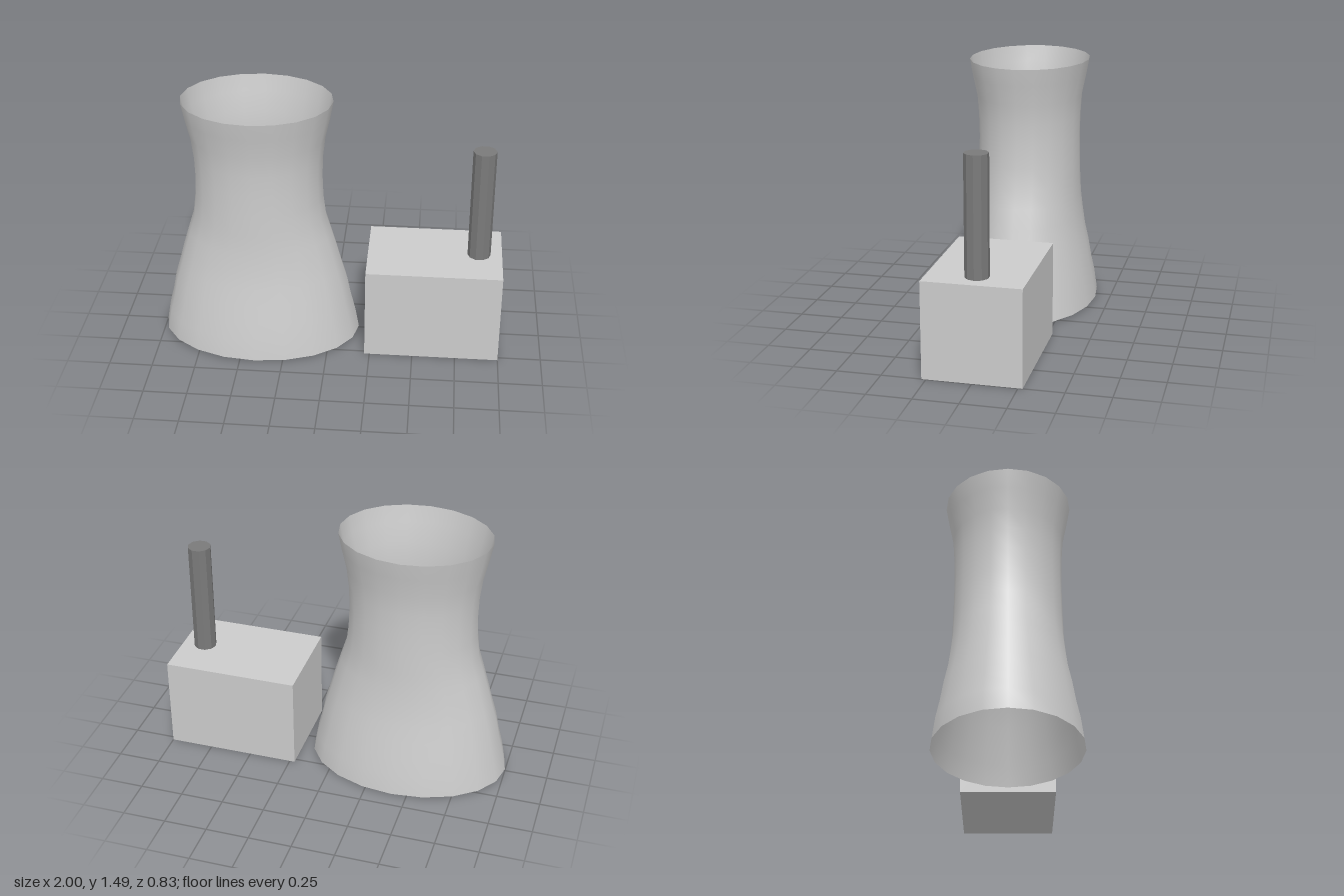
import * as THREE from 'three';

// Tower cross-sections: height, half width along x, half depth along z
const RINGS = [
  [0.01, 0.585, 0.415], [0.13, 0.563, 0.398], [0.23, 0.537, 0.376], [0.34, 0.515, 0.357],
  [0.44, 0.485, 0.335], [0.55, 0.455, 0.32], [0.66, 0.422, 0.308], [0.77, 0.388, 0.304],
  [0.9, 0.372, 0.301], [1.03, 0.367, 0.299], [1.15, 0.37, 0.302], [1.27, 0.384, 0.31],
  [1.39, 0.411, 0.335], [1.49, 0.43, 0.353],
];

// Open oval shell: a lathe of the x profile, squeezed in z ring by ring
function towerGeometry() {
  const geo = new THREE.LatheGeometry(RINGS.map(([y, rx]) => new THREE.Vector2(rx, y)), 20);
  const pos = geo.attributes.position;
  for (let i = 0; i < pos.count; i++) {
    const [, rx, rz] = RINGS[i % RINGS.length];
    pos.setZ(i, pos.getZ(i) * rz / rx);
  }
  // Smooth normals of the squeezed shell, joined across the seam
  geo.computeVertexNormals();
  const n = geo.attributes.normal;
  const last = pos.count - RINGS.length;
  for (let j = 0; j < RINGS.length; j++) {
    const v = new THREE.Vector3().fromBufferAttribute(n, j)
      .add(new THREE.Vector3().fromBufferAttribute(n, last + j)).normalize();
    n.setXYZ(j, v.x, v.y, v.z);
    n.setXYZ(last + j, v.x, v.y, v.z);
  }
  return geo;
}

export function createModel() {
  const model = new THREE.Group();
  model.name = 'powerPlant';

  const add = (name, geometry, material, x, y) => {
    const mesh = new THREE.Mesh(geometry, material);
    mesh.name = name;
    mesh.position.set(x, y, 0);
    model.add(mesh);
    return mesh;
  };

  const shell = new THREE.MeshStandardMaterial({ color: 0xcccccc, side: THREE.DoubleSide });
  const wall = new THREE.MeshStandardMaterial({ color: 0xcccccc, flatShading: true });
  const dark = new THREE.MeshStandardMaterial({ color: 0x7a7a7a, flatShading: true });

  add('coolingTower', towerGeometry(), shell, -0.415, 0);
  add('building', new THREE.BoxGeometry(0.78, 0.55, 0.55), wall, 0.61, 0.275);

  // Ten-sided chimney with a corner on the x axis
  const chimney = add('chimney', new THREE.CylinderGeometry(0.067, 0.067, 0.67, 10), dark, 0.866, 0.885);
  chimney.rotation.y = Math.PI / 2;

  return model;
}
